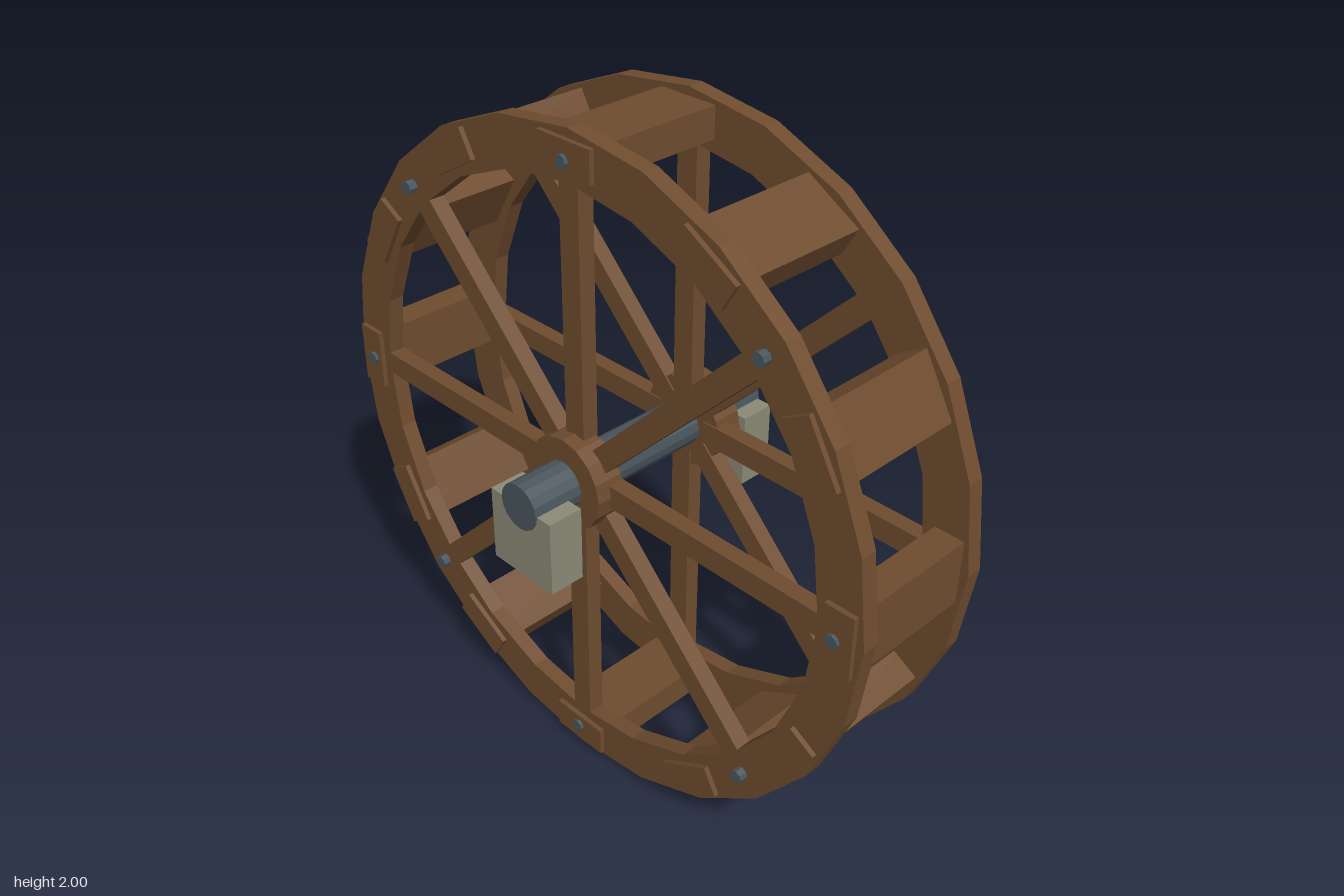
import * as THREE from 'three';

const mat = (color) => new THREE.MeshStandardMaterial({ color, flatShading: true });

export function createModel() {
  const model = new THREE.Group();
  model.name = 'waterWheel';
  const wood = mat(0x6f4c2f);
  const iron = mat(0x4a565e);
  const stone = mat(0x8c8b78);

  const add = (parent, name, geometry, material, x = 0, y = 0, z = 0) => {
    const mesh = new THREE.Mesh(geometry, material);
    mesh.name = name;
    mesh.position.set(x, y, z);
    parent.add(mesh);
    return mesh;
  };
  // Cylinder lying along x
  const rod = (radius, length, sides) =>
    new THREE.CylinderGeometry(radius, radius, length, sides).rotateZ(Math.PI / 2);
  const ringPoints = (radius, sides) =>
    Array.from({ length: sides }, (_, i) => {
      const a = (i / sides) * Math.PI * 2;
      return new THREE.Vector2(radius * Math.cos(a), radius * Math.sin(a));
    });

  // Everything that turns is built around the axle
  const wheel = new THREE.Group();
  wheel.name = 'wheel';
  wheel.position.y = 1;
  model.add(wheel);

  const rimShape = new THREE.Shape(ringPoints(1, 24));
  rimShape.holes.push(new THREE.Path(ringPoints(0.86, 24).reverse()));
  const rimGeo = new THREE.ExtrudeGeometry(rimShape, { depth: 0.05, bevelEnabled: false });
  rimGeo.translate(0, 0, -0.025).rotateY(Math.PI / 2);

  const spokeGeo = new THREE.BoxGeometry(0.05, 0.86, 0.07).translate(0, 0.43, 0);
  const boltGeo = rod(0.02, 0.04, 8).translate(0, 0.92, 0);
  const hubGeo = rod(0.14, 0.09, 16);
  const bearingGeo = new THREE.BoxGeometry(0.11, 0.23, 0.24);

  for (const [side, s] of [['left', 1], ['right', -1]]) {
    // Rim and hub
    add(wheel, `${side}Rim`, rimGeo, wood, s * 0.205);
    add(wheel, `${side}Hub`, hubGeo, wood, s * 0.23);

    // Spokes, each with a bolt through the rim
    for (let i = 0; i < 8; i++) {
      const angle = (i * Math.PI) / 4;
      add(wheel, `${side}Spoke${i + 1}`, spokeGeo, wood, s * 0.205).rotation.x = angle;
      add(wheel, `${side}Bolt${i + 1}`, boltGeo, iron, s * 0.235).rotation.x = angle;
    }

    // Bearing block under the axle end
    add(model, `${side}BearingBlock`, bearingGeo, stone, s * 0.375, 0.885);
  }

  // Paddle boards bridging the two rims
  const paddleGeo = new THREE.BoxGeometry(0.49, 0.09, 0.19).translate(0, 0.93, 0);
  for (let i = 0; i < 12; i++) {
    add(wheel, `paddle${i + 1}`, paddleGeo, wood).rotation.x = (i * Math.PI) / 6;
  }

  // Axle
  add(wheel, 'axle', rod(0.07, 0.87, 16), iron);

  return model;
}
